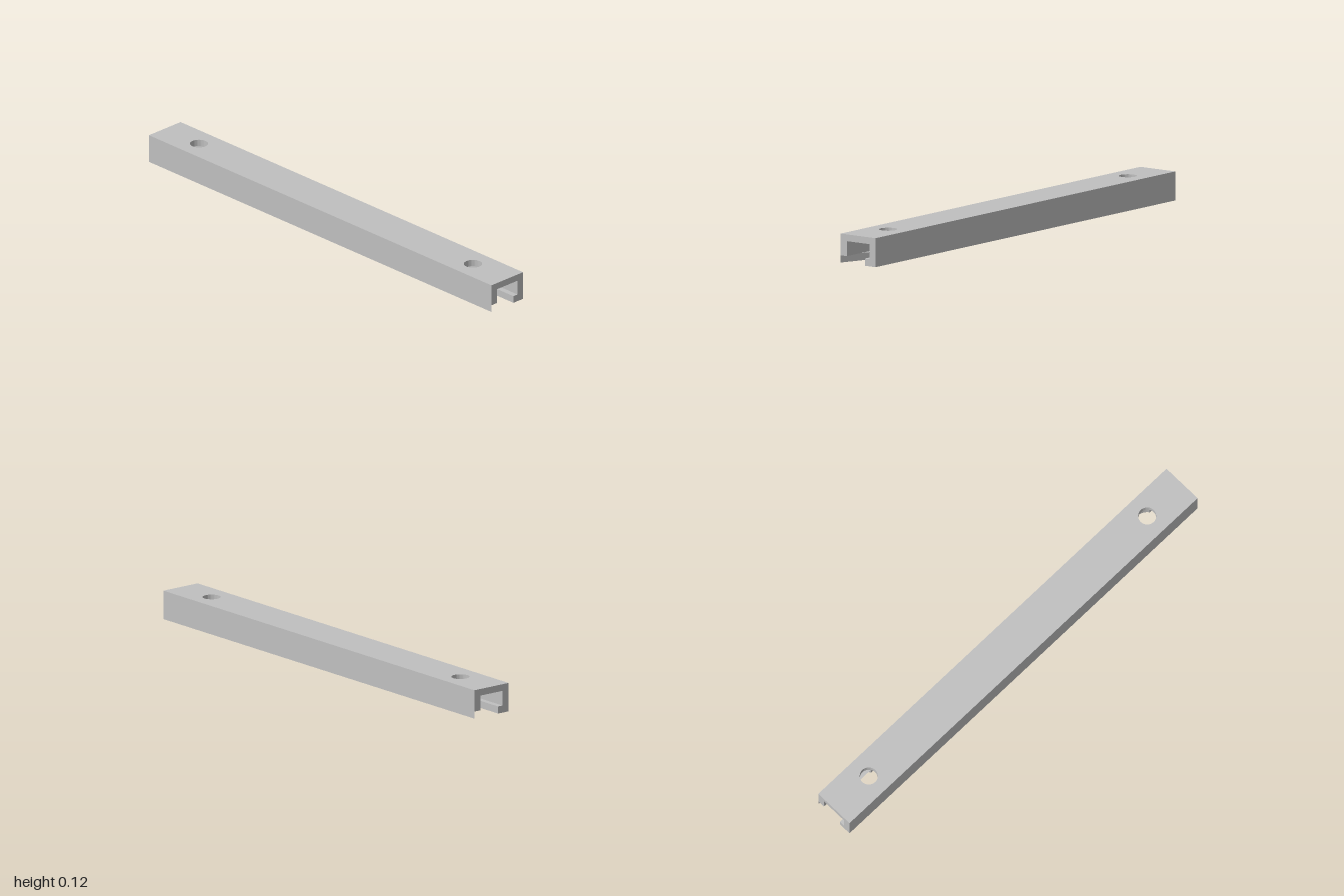
import * as THREE from 'three';
import { toCreasedNormals } from 'three/addons/utils/BufferGeometryUtils.js';

const HALF_LENGTH = 1, HALF_WIDTH = 0.09, HEIGHT = 0.12;
const LIP_TOP = 0.03, CEILING = 0.092;   // heights of the inner channel
const INNER = 0.058, SLOT = 0.035;       // half widths of channel and slot
const HOLES = [-0.8, 0.8], HOLE_R = 0.037, ACCESS_R = 0.06;

export function createModel() {
  const rail = new THREE.Group();
  rail.name = 'channelRail';
  const metal = new THREE.MeshStandardMaterial({ color: 0xc0c0c0 });
  metal.name = 'grey metal';

  const add = (name, geometry) => {
    const mesh = new THREE.Mesh(geometry, metal);
    mesh.name = name;
    rail.add(mesh);
    return mesh;
  };

  // Extrudes a plan outline upwards from y0 to y1
  const slab = (shape, y0, y1) => {
    const geometry = new THREE.ExtrudeGeometry(shape, {
      depth: y1 - y0, bevelEnabled: false, curveSegments: 32,
    });
    geometry.rotateX(-Math.PI / 2).translate(0, y0, 0);
    return toCreasedNormals(geometry, 0.6);
  };

  // Top plate with two through holes
  const plate = new THREE.Shape([
    new THREE.Vector2(-HALF_LENGTH, -HALF_WIDTH), new THREE.Vector2(HALF_LENGTH, -HALF_WIDTH),
    new THREE.Vector2(HALF_LENGTH, HALF_WIDTH), new THREE.Vector2(-HALF_LENGTH, HALF_WIDTH),
  ]);
  for (const x of HOLES) {
    plate.holes.push(new THREE.Path().absarc(x, 0, HOLE_R, 0, Math.PI * 2, true));
  }
  add('topPlate', slab(plate, CEILING, HEIGHT));

  // Lip outline, notched by the round access openings below the holes
  const lip = new THREE.Shape();
  const angle = Math.asin(SLOT / ACCESS_R);
  lip.moveTo(-HALF_LENGTH, SLOT);
  for (const x of HOLES) lip.absarc(x, 0, ACCESS_R, Math.PI - angle, angle, true);
  lip.lineTo(HALF_LENGTH, SLOT);
  lip.lineTo(HALF_LENGTH, HALF_WIDTH);
  lip.lineTo(-HALF_LENGTH, HALF_WIDTH);
  lip.closePath();

  // Side walls and lips, mirrored front to back
  for (const [side, sign] of [['front', 1], ['back', -1]]) {
    const wall = add(side + 'Wall', new THREE.BoxGeometry(
      2 * HALF_LENGTH, CEILING - LIP_TOP, HALF_WIDTH - INNER));
    wall.position.set(0, (LIP_TOP + CEILING) / 2, sign * (INNER + HALF_WIDTH) / 2);
    add(side + 'Lip', slab(lip, 0, LIP_TOP)).rotation.y = sign > 0 ? Math.PI : 0;
  }
  return rail;
}
